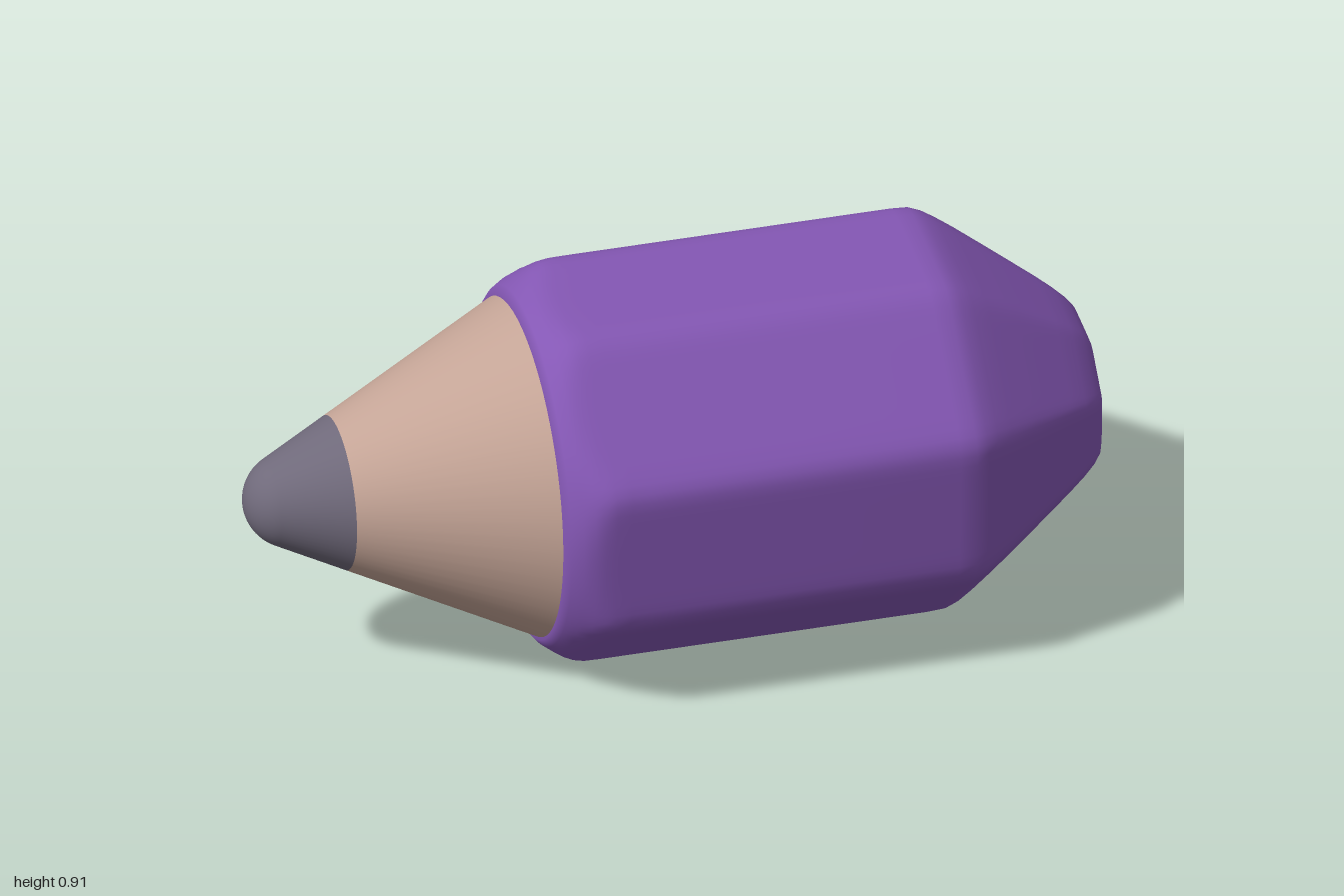
import * as THREE from 'three';

const AXIS_Y = 0.455;
const SEGMENTS = 128;

// Octagon sides as [normal angle in degrees, distance from axis]; the other four are opposite
const half = [[-2, 0.451], [45, 0.438], [85, 0.444], [131.8, 0.444]];
const sides = [...half, ...half.map(([a, d]) => [a + 180, d])];

// Radius of the octagon with softly rounded corners
function octagonRadius(angle) {
  let sum = 0;
  for (const [a, d] of sides) {
    sum += Math.max(0, Math.cos(angle - THREE.MathUtils.degToRad(a)) / d) ** 44;
  }
  return sum ** (-1 / 44);
}

// Smooth minimum of two radii
const softMin = (a, b) => (a ** -40 + b ** -40) ** (-1 / 40);

// Body cross-sections as [x, octagon scale, limiting round radius of the front shoulder]
const sections = [
  [-0.345, 1, 0.37], [-0.35, 1, 0.402], [-0.335, 1, 0.42], [-0.31, 1, 0.44], [-0.285, 1, 0.46],
  [-0.26, 1, 0.48], [-0.235, 1, 0.51], [-0.2, 1, 0.6], [-0.15, 1, 2], [0.2, 1, 2], [0.58, 1, 2],
  [0.62, 0.995, 2], [0.65, 0.97, 2], [0.68, 0.93, 2], [0.72, 0.87, 2], [0.8, 0.74, 2],
  [0.9, 0.575, 2], [0.94, 0.505, 2], [0.97, 0.445, 2], [0.988, 0.395, 2], [0.997, 0.34, 2],
  [1, 0.27, 2], [1, 0.12, 2], [1, 0.0001, 2],
];

function bodyGeometry() {
  const positions = [];
  const index = [];
  sections.forEach(([x, scale, limit], i) => {
    for (let j = 0; j < SEGMENTS; j++) {
      const angle = (j / SEGMENTS) * Math.PI * 2;
      const r = scale * softMin(octagonRadius(angle), limit);
      positions.push(x, AXIS_Y + r * Math.sin(angle), r * Math.cos(angle));
      if (i === sections.length - 1) continue;
      const k = (j + 1) % SEGMENTS;
      const a = i * SEGMENTS + j, d = i * SEGMENTS + k;
      const b = a + SEGMENTS, c = d + SEGMENTS;
      index.push(a, b, c, a, c, d);
    }
  });
  const geometry = new THREE.BufferGeometry();
  geometry.setAttribute('position', new THREE.Float32BufferAttribute(positions, 3));
  geometry.setIndex(index);
  geometry.computeVertexNormals();
  return geometry;
}

// Round part along the axis, from [distance toward the tip, radius] points
function roundPart(name, points, material) {
  const geometry = new THREE.LatheGeometry(points.map(([h, r]) => new THREE.Vector2(r, h)), 64);
  geometry.rotateZ(Math.PI / 2);
  const mesh = new THREE.Mesh(geometry, material);
  mesh.name = name;
  mesh.position.y = AXIS_Y;
  return mesh;
}

export function createModel() {
  const paint = new THREE.MeshStandardMaterial({ color: 0x8457b4 });
  paint.name = 'purple paint';
  const wood = new THREE.MeshStandardMaterial({ color: 0xc4a496 });
  wood.name = 'bare wood';
  const lead = new THREE.MeshStandardMaterial({ color: 0x6f697a });
  lead.name = 'grey lead';

  const model = new THREE.Group();
  model.name = 'pencilStub';

  // Faceted painted barrel with tapered rear end
  const body = new THREE.Mesh(bodyGeometry(), paint);
  body.name = 'barrel';
  model.add(body);

  // Sharpened wooden cone
  model.add(roundPart('woodCone', [[0.33, 0.405], [0.78, 0.18]], wood));

  // Lead cone ending in a ball that meets it tangentially
  const R = 0.113;
  const tip = [[0.78, 0.18]];
  for (let i = 0; i <= 12; i++) {
    const a = THREE.MathUtils.lerp(Math.atan(0.5), Math.PI / 2, i / 12);
    tip.push([1 - R + R * Math.sin(a), Math.max(0, R * Math.cos(a))]);
  }
  model.add(roundPart('leadTip', tip, lead));

  return model;
}
